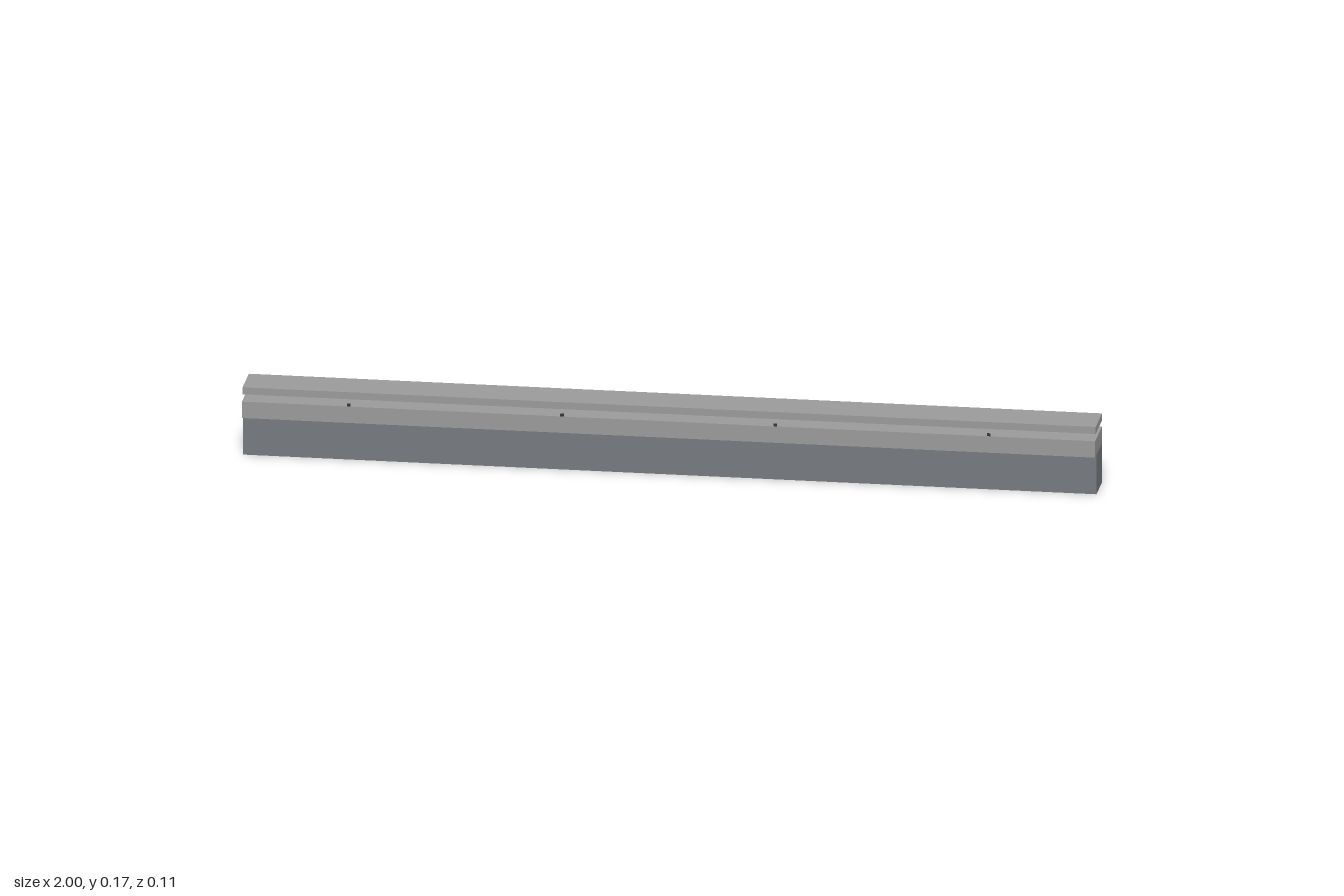
import * as THREE from 'three';

export function createModel() {
  const model = new THREE.Group();
  model.name = 'counter';

  const material = (name, color) => {
    const m = new THREE.MeshStandardMaterial({ color });
    m.name = name;
    return m;
  };
  const lightGrey = material('light grey', 0x999999);
  const slateGrey = material('slate grey', 0x74787c);
  const darkGrey = material('dark grey', 0x333333);

  // Box given by its x centre, width, and y and z extents
  const addBox = (name, mat, x, width, y0, y1, z0, z1) => {
    const mesh = new THREE.Mesh(new THREE.BoxGeometry(width, y1 - y0, z1 - z0), mat);
    mesh.position.set(x, (y0 + y1) / 2, (z0 + z1) / 2);
    mesh.name = name;
    model.add(mesh);
  };

  const back = -0.0545;
  addBox('base', slateGrey, 0, 2, 0, 0.096, back, 0.0355);
  addBox('ledge', lightGrey, 0, 2, 0.096, 0.136, back, 0.0555);
  // Upper slab floats above the ledge
  addBox('topSlab', lightGrey, 0, 2, 0.151, 0.168, back, 0.0465);

  // Small studs along the front edge of the ledge
  for (const x of [-0.75, -0.25, 0.25, 0.75]) {
    addBox('stud', darkGrey, x, 0.008, 0.136, 0.142, 0.0505, 0.0545);
  }
  return model;
}
